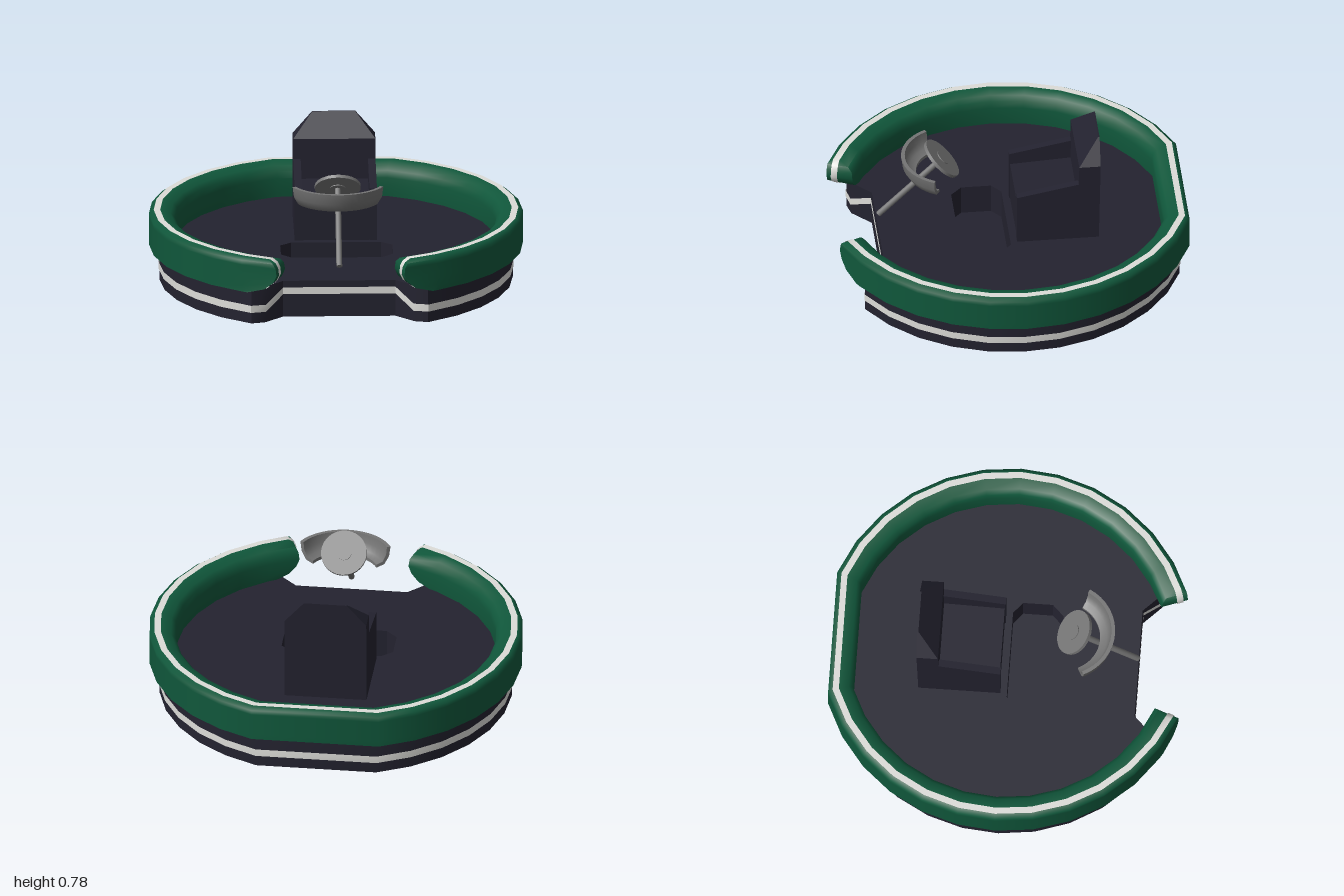
import * as THREE from 'three';
import { toCreasedNormals } from 'three/addons/utils/BufferGeometryUtils.js';

const rad = THREE.MathUtils.degToRad;
const V = (x, y, z) => new THREE.Vector3(x, y, z);
const polar = (r, a, y, cz = 0) => V(r * Math.sin(a), y, cz + r * Math.cos(a));

function fromTriangles(tris, crease) {
  const geo = new THREE.BufferGeometry().setFromPoints(tris.flat());
  return toCreasedNormals(geo, crease);
}

// Solid from closed cross-sections; the ends are capped by pairing opposite points
function loft(rings, crease = 0.7) {
  const tris = [], n = rings[0].length;
  const quad = (a, b, c, d) => tris.push([a, b, c], [a, c, d]);
  for (let k = 0; k + 1 < rings.length; k++) {
    for (let i = 0; i < n; i++) {
      const j = (i + 1) % n;
      quad(rings[k][i], rings[k][j], rings[k + 1][j], rings[k + 1][i]);
    }
  }
  const first = rings[0], last = rings[rings.length - 1];
  for (let i = 0; i < n / 2 - 1; i++) {
    const p = n - 1 - i;
    quad(first[i], first[p], first[p - 1], first[i + 1]);
    quad(last[i], last[i + 1], last[p - 1], last[p]);
  }
  // turn all faces outward
  let volume = 0;
  for (const [a, b, c] of tris) volume += a.dot(b.clone().cross(c));
  if (volume < 0) tris.forEach((t) => t.reverse());
  return fromTriangles(tris, crease);
}

// Open band between two lines of points
function band(lower, upper, crease = 0.6) {
  const tris = [];
  for (let i = 0; i + 1 < lower.length; i++) {
    tris.push([lower[i], lower[i + 1], upper[i + 1]], [lower[i], upper[i + 1], upper[i]]);
  }
  return fromTriangles(tris, crease);
}

// Flat horizontal sheet from [x, z] points
function sheet(points, y, hole) {
  const toV2 = (list) => list.map(([x, z]) => new THREE.Vector2(x, z));
  const shape = new THREE.Shape(toV2(points));
  if (hole) shape.holes.push(new THREE.Path(toV2(hole)));
  return new THREE.ShapeGeometry(shape).rotateX(Math.PI / 2).translate(0, y, 0);
}

export function createModel() {
  const model = new THREE.Group();
  const material = (name, color, side = THREE.DoubleSide) => {
    const m = new THREE.MeshStandardMaterial({ color, side });
    m.name = name;
    return m;
  };
  const dark = material('dark hull', 0x23222f);
  const green = material('green rubber', 0x10573b);
  const white = material('white trim', 0xdcdcd8);
  const grey = material('grey metal', 0x757575);
  const add = (name, geo, mat, parent = model) => {
    const mesh = new THREE.Mesh(geo, mat);
    mesh.name = name;
    parent.add(mesh);
    return mesh;
  };

  // Angles round the ring from the front opening, with one straight run at the back
  const angles = [];
  for (let i = 0; i <= 12; i++) angles.push(rad(20 + (140 * i) / 12));
  angles.push(...angles.map((a) => 2 * Math.PI - a).reverse());

  // Bumper: rows of height, outer radius, inner radius and how far the end draws back
  const rows = [
    [0.19, 1, 0.86, 0.17], [0.22, 1, 0.857, 0.07], [0.26, 1, 0.857, 0.02], [0.3, 1, 0.857, 0],
    [0.34, 1, 0.862, 0.005], [0.365, 1, 0.885, 0.02], [0.38, 0.978, 0.935, 0.05],
  ];
  const endAngle = (k, pull) =>
    k === 0 ? angles[k] + pull : k === angles.length - 1 ? angles[k] - pull : angles[k];
  const bumperRings = angles.map((_, k) => [
    ...rows.map(([y, outer, , pull]) => polar(outer, endAngle(k, pull), y)),
    ...rows.map(([y, , inner, pull]) => polar(inner, endAngle(k, pull), y)).reverse(),
  ]);
  add('bumper', loft(bumperRings, 1.1), green);

  // Bumper stripe: along the top and down over both ends
  const stripeEdge = (r) => {
    const down = (k, sign) => rows.map(([y, , , pull]) =>
      polar(r, angles[k] + sign * (pull - 0.006), y + (y > 0.37 ? 0.004 : 0)));
    const lastIndex = angles.length - 1;
    return [
      ...down(0, 1),
      ...angles.slice(1, -1).map((a) => polar(r, a, 0.384)),
      ...down(lastIndex, -1).reverse(),
    ];
  };
  add('bumperStripe', band(stripeEdge(0.94), stripeEdge(0.975), 1), white);

  // Hull outline with a step back at the front opening
  const hullOutline = (r, grow = 0) => {
    const half = [[0.3, 0.7 + grow], [0.4 - grow, 0.8 + grow]];
    for (let i = 0; i <= 11; i++) {
      const a = rad(30 + (130 * i) / 11);
      half.push([(r + grow) * Math.sin(a), (r + grow) * Math.cos(a)]);
    }
    return [...half, ...half.map(([x, z]) => [-x, z]).reverse()];
  };
  const wall = (points, y0, y1) => {
    const loop = [...points, points[0]];
    return band(loop.map(([x, z]) => V(x, y0, z)), loop.map(([x, z]) => V(x, y1, z)));
  };
  add('hullWall', wall(hullOutline(0.945), 0, 0.2), dark);

  // Hull stripe, raised across the front step
  const stripeLine = hullOutline(0.945, 0.005);
  stripeLine.push(stripeLine[0]);
  const isStep = ([x]) => Math.abs(x) < 0.31;
  const stripeAt = (low, high) => stripeLine.map((p) =>
    V(p[0], isStep(p) && p[1] > 0 ? high : low, p[1]));
  add('hullStripe', band(stripeAt(0.06, 0.127), stripeAt(0.1, 0.165)), white);

  // Floor with a sunken footwell
  const well = [
    [-0.24, 0.01], [0.24, 0.01], [0.3, 0.06], [0.3, 0.22],
    [0.24, 0.28], [-0.24, 0.28], [-0.3, 0.22], [-0.3, 0.06],
  ];
  add('floor', sheet(hullOutline(0.865), 0.197, well), dark);
  add('footwellWall', wall(well, 0.03, 0.197), dark);
  add('footwellBase', sheet(well, 0.03), dark);

  // Seat: cushion block between two side panels, with a tapering backrest
  const seat = new THREE.Group();
  seat.name = 'seat';
  model.add(seat);
  const sidePrism = (points, x0, x1) =>
    loft([x0, x1].map((x) => points.map(([z, y]) => V(x, y, z))), 0.3);
  add('cushion', sidePrism([[-0.03, 0.19], [-0.03, 0.42], [-0.37, 0.44], [-0.37, 0.19]], -0.18, 0.18), dark, seat);
  for (const s of [-1, 1]) {
    add('seatSide', sidePrism([[-0.025, 0.19], [-0.025, 0.485], [-0.36, 0.55], [-0.36, 0.19]], s * 0.18, s * 0.22), dark, seat);
  }
  const backSections = [[0.19, 0.22, -0.35, -0.465], [0.66, 0.22, -0.36, -0.475], [0.78, 0.115, -0.472, -0.48]];
  add('backrest', loft(backSections.map(([y, x, front, back]) =>
    [V(-x, y, front), V(x, y, front), V(x, y, back), V(-x, y, back)]), 0.3), dark, seat);

  // Steering column, wheel and hub on one tilted axis
  const steering = new THREE.Group();
  steering.name = 'steering';
  steering.position.set(0, 0.617, 0.357);
  steering.rotation.x = -Math.PI / 4;
  model.add(steering);
  add('column', new THREE.CylinderGeometry(0.016, 0.016, 0.48, 12).translate(0, -0.24, 0), grey, steering);
  add('wheel', new THREE.CylinderGeometry(0.123, 0.123, 0.018, 28), grey, steering);
  add('hub', new THREE.CylinderGeometry(0.042, 0.042, 0.028, 20), grey, steering);

  // Curved dash tray in front of the wheel
  const tray = [
    [0.27, 0.637], [0.262, 0.58], [0.235, 0.535], [0.19, 0.522],
    [0.19, 0.54], [0.225, 0.552], [0.245, 0.59], [0.25, 0.637],
  ];
  const trayRings = [];
  for (let i = 0; i <= 16; i++) {
    const a = rad(-64 + 8 * i);
    trayRings.push(tray.map(([r, y]) => polar(r, a, y, 0.304)));
  }
  add('dashTray', loft(trayRings, 0.9), grey);

  return model;
}
